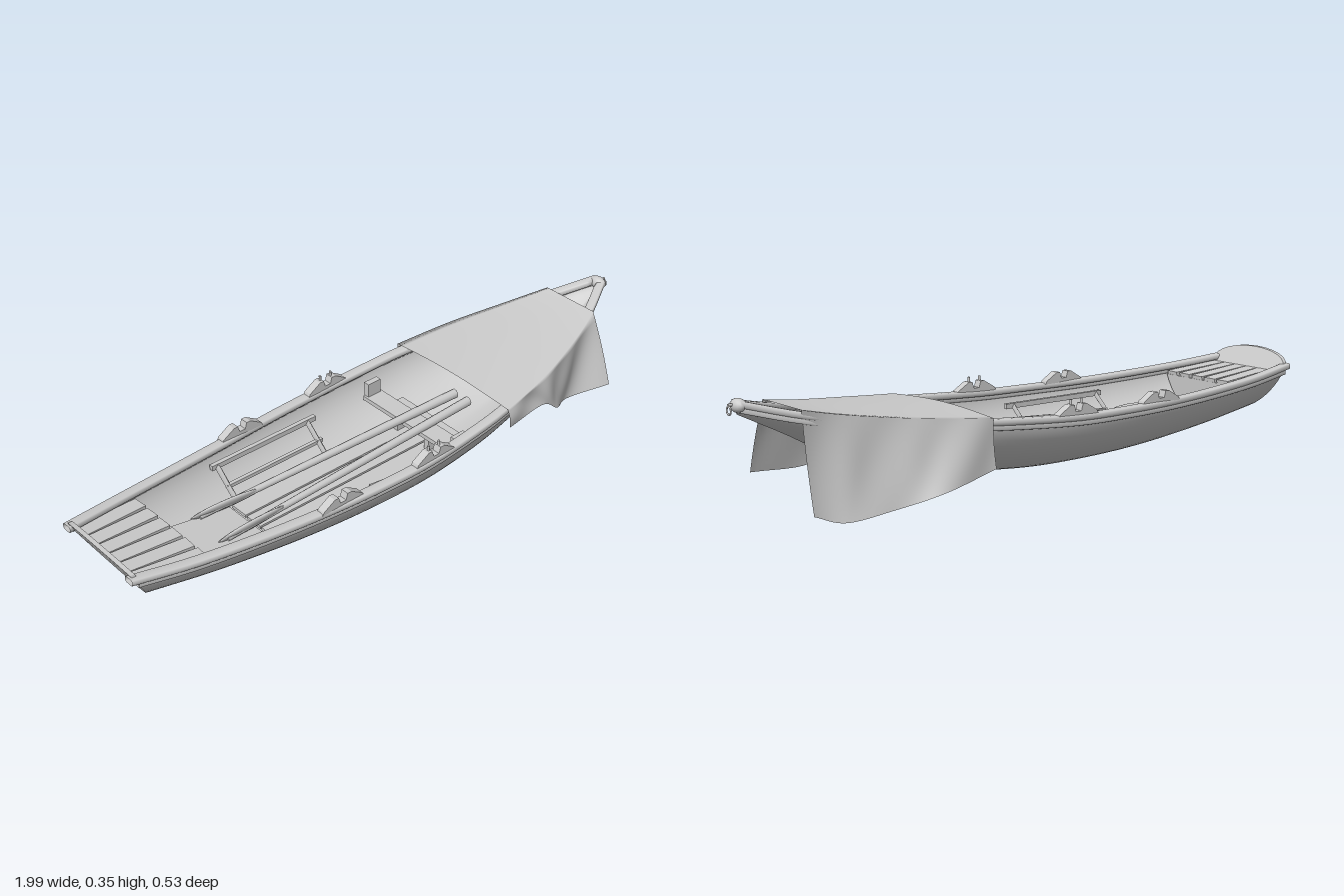
import * as THREE from 'three';
import { ParametricGeometry } from 'three/addons/geometries/ParametricGeometry.js';

const mat = new THREE.MeshStandardMaterial({ color: 0xcccccc, side: THREE.DoubleSide });
const { lerp } = THREE.MathUtils;

// Lines of the boat as [x, value] tables
const SHEER = [[-0.975, 0.262], [-0.8, 0.245], [-0.6, 0.233], [-0.4, 0.226], [-0.2, 0.225], [0, 0.228],
  [0.3, 0.248], [0.5, 0.266], [0.7, 0.29], [0.83, 0.313], [0.97, 0.348]];
const WIDTH = [[-0.975, 0.165], [-0.8, 0.195], [-0.6, 0.22], [-0.4, 0.24], [-0.2, 0.255], [0, 0.26],
  [0.2, 0.25], [0.3, 0.24], [0.5, 0.205], [0.7, 0.145], [0.83, 0.095], [0.97, 0.024]];
const KEEL = [[-0.89, 0.105], [-0.6, 0.068], [-0.35, 0.045], [-0.1, 0.037], [0.1, 0.043], [0.3, 0.065],
  [0.5, 0.102], [0.7, 0.172], [0.83, 0.24], [0.97, 0.31]];

// Smooth interpolation of a table
function at(t, x) {
  let i = 0;
  while (i < t.length - 2 && x > t[i + 1][0]) i++;
  const slope = k => {
    const a = t[Math.max(k - 1, 0)], b = t[Math.min(k + 1, t.length - 1)];
    return (b[1] - a[1]) / (b[0] - a[0]);
  };
  const h = t[i + 1][0] - t[i][0], s = (x - t[i][0]) / h, s2 = s * s, s3 = s2 * s;
  return (2 * s3 - 3 * s2 + 1) * t[i][1] + (s3 - 2 * s2 + s) * h * slope(i)
    + (3 * s2 - 2 * s3) * t[i + 1][1] + (s3 - s2) * h * slope(i + 1);
}

// Point on the hull skin: u runs stern to bow, v from one rail under the keel to the other
function hullPoint(u, v, p) {
  const side = v * 2 - 1, a = Math.abs(side) * Math.PI / 2;
  const xs = lerp(-0.975, 0.965, u), xk = lerp(-0.89, 0.965, u);
  const vee = Math.max(0, (u - 0.6) / 0.4) * 0.6;
  const f = lerp(1 - Math.cos(a), Math.abs(side), vee);
  const w = Math.max(at(WIDTH, xs) - 0.012, 0.012);
  return p.set(lerp(xk, xs, f), lerp(at(KEEL, xk), at(SHEER, xs) - 0.008, f), Math.sign(side) * Math.sin(a) * w);
}

export function createModel() {
  const model = new THREE.Group();
  const add = (name, geo) => {
    const m = new THREE.Mesh(geo, mat);
    m.name = name;
    model.add(m);
    return m;
  };
  const surface = (name, fn, nu, nv) => add(name, new ParametricGeometry(fn, nu, nv));
  const box = (name, x, y, z, sx, sy, sz) => {
    const m = add(name, new THREE.BoxGeometry(sx, sy, sz));
    m.position.set(x, y, z);
    return m;
  };
  // Round or square bar between two points
  const bar = (name, a, b, r0, r1 = r0, sides = 10) => {
    const A = new THREE.Vector3(...a), B = new THREE.Vector3(...b);
    const m = add(name, new THREE.CylinderGeometry(r1, r0, A.distanceTo(B), sides));
    m.position.copy(A).add(B).multiplyScalar(0.5);
    m.quaternion.setFromUnitVectors(new THREE.Vector3(0, 1, 0), B.sub(A).normalize());
  };

  surface('hull', hullPoint, 60, 28);

  // Raked transom with an arched top
  const p = new THREE.Vector3(), outline = [];
  for (let i = 0; i <= 20; i++) {
    hullPoint(0, i / 20, p);
    outline.push(new THREE.Vector2(-p.z, p.y));
  }
  for (let i = 1; i < 12; i++) {
    const a = i / 12 * Math.PI;
    outline.push(new THREE.Vector2(-0.153 * Math.cos(a), 0.256 + 0.045 * Math.sin(a)));
  }
  const transom = new THREE.ExtrudeGeometry(new THREE.Shape(outline), { depth: 0.014, bevelEnabled: false });
  const tp = transom.attributes.position;
  for (let i = 0; i < tp.count; i++) {
    const X = tp.getX(i), Y = tp.getY(i);
    tp.setXYZ(i, -0.89 - 0.556 * (Y - 0.105) + tp.getZ(i), Y, -X);
  }
  transom.computeVertexNormals();
  add('transom', transom);

  // Rounded gunwales and the rubbing strakes below them
  for (const s of [1, -1]) {
    const rail = (name, x0, zIn, yDown, rz, ry) => surface(name, (u, v, q) => {
      const x = lerp(x0, 0.965, u), a = v * Math.PI * 2;
      const round = t => Math.sign(t) * Math.sqrt(Math.abs(t));
      const z = at(WIDTH, x) - zIn + rz * round(Math.cos(a));
      q.set(x, at(SHEER, x) - yDown + ry * round(Math.sin(a)), s * Math.max(z, 0));
    }, 50, 16);
    rail('gunwale', -0.985, 0.017, 0.01, 0.017, 0.01);
    rail('rubbingStrake', -0.965, 0.012, 0.025, 0.007, 0.009);
  }

  // Bow cap and mooring ring
  const cap = add('bowCap', new THREE.SphereGeometry(1, 16, 10));
  cap.scale.set(0.02, 0.02, 0.03);
  cap.position.set(0.96, 0.331, 0);
  bar('ringPin', [0.972, 0.335, 0], [0.99, 0.335, 0], 0.004);
  const ring = add('mooringRing', new THREE.TorusGeometry(0.011, 0.0025, 8, 20));
  ring.rotation.y = Math.PI / 2;
  ring.position.set(0.988, 0.32, 0);

  // Slatted stern seat fanning forward, with its front panel
  for (let i = 0; i < 6; i++) {
    const z = (i - 2.5) * 0.054;
    const slat = box('sternSlat', -0.853, 0.224, z, 0.21, 0.012, 0.047);
    slat.rotation.set(0, -z * 0.7, -0.08);
  }
  const panel = new THREE.Shape();
  for (let i = 0; i <= 16; i++) {
    hullPoint(0.1, i / 16, p);
    const y = Math.min(p.y + 0.012, 0.21);
    if (i) panel.lineTo(p.z * 0.93, y);
    else panel.moveTo(p.z * 0.93, y);
  }
  const front = add('sternSeatPanel', new THREE.ExtrudeGeometry(panel, { depth: 0.012, bevelEnabled: false }));
  front.rotation.y = Math.PI / 2;
  front.position.x = -0.76;

  // Tapered step ahead of the stern seat
  const step = new THREE.BoxGeometry(0.25, 0.014, 0.2);
  const sp = step.attributes.position;
  for (let i = 0; i < sp.count; i++) if (sp.getX(i) > 0) sp.setZ(i, sp.getZ(i) * 0.8);
  const stepMesh = add('sternStep', step);
  stepMesh.position.set(-0.62, 0.118, 0);
  stepMesh.rotation.z = -0.1;

  // Floorboards
  for (let i = -1; i <= 1; i++) box('floorboard', -0.125, 0.088, i * 0.068, 0.69, 0.01, 0.062);

  // Thwart with its supports, and the side stringers with their ribs
  box('thwart', 0.155, 0.152, 0, 0.065, 0.014, 0.4);
  box('thwartBeam', 0.23, 0.118, 0, 0.025, 0.018, 0.3);
  for (const s of [1, -1]) {
    box('thwartKnee', 0.155, 0.18, s * 0.194, 0.05, 0.05, 0.02);
    box('thwartLeg', 0.155, 0.12, s * 0.07, 0.03, 0.06, 0.02);
    box('stringer', -0.275, 0.175, s * 0.194, 0.39, 0.016, 0.014);
    box('lowerStringer', -0.275, 0.128, s * 0.143, 0.36, 0.012, 0.012);
    for (const x of [-0.45, -0.11]) bar('rib', [x, 0.175, s * 0.194], [x, 0.092, s * 0.1], 0.009, 0.009, 4);
  }

  // Oars resting on the thwart
  for (const [z0, z1] of [[-0.08, -0.005], [0.05, 0.052]]) {
    bar('oarShaft', [-0.6, 0.13, z0], [0.33, 0.176, z1], 0.009, 0.015);
    const blade = add('oarBlade', new THREE.SphereGeometry(1, 14, 8));
    blade.scale.set(0.12, 0.024, 0.009);
    blade.position.set(-0.51, 0.135, lerp(z0, z1, 0.1));
    blade.rotation.set(0.5, -(z1 - z0) / 0.93, 0.05);
  }

  // Oarlock blocks with notched tops and thole pins
  const block = new THREE.Shape([[-0.075, 0], [0.075, 0], [0.07, 0.01], [0.03, 0.034], [0.016, 0.034], [0.01, 0.014],
    [-0.01, 0.014], [-0.016, 0.034], [-0.03, 0.034], [-0.07, 0.01]].map(c => new THREE.Vector2(...c)));
  for (const s of [1, -1]) for (const x of [-0.335, 0.005]) {
    const z = s * (at(WIDTH, x) - 0.018), y = at(SHEER, x);
    const m = add('oarlockBlock', new THREE.ExtrudeGeometry(block, { depth: 0.026, bevelEnabled: false }));
    m.position.set(x, y - 0.004, z - 0.013);
    if (x > 0) for (const d of [-0.02, 0.02]) bar('tholePin', [x + d, y, z], [x + d, 0.273, z], 0.004);
  }

  // Tarpaulin draped over the bow, its hems hanging on either side
  const curve = pts => new THREE.CatmullRomCurve3(pts.map(c => new THREE.Vector3(...c)));
  const hems = {
    '-1': curve([[0.3, 0.11, -0.25], [0.49, 0.07, -0.263], [0.6, 0.03, -0.195], [0.72, 0.0, -0.13], [0.755, 0.002, -0.028]]),
    '1': curve([[0.31, 0.19, 0.252], [0.49, 0.18, 0.225], [0.56, 0.13, 0.215], [0.65, 0.1, 0.17], [0.82, 0.095, 0.2]]),
  };
  surface('tarpaulin', (u, v, q) => {
    const t = v * 2 - 1, s = t < 0 ? -1 : 1, k = Math.abs(t);
    const x = lerp(0.305, 0.83, u), w = at(WIDTH, x) + 0.005, y = at(SHEER, x) + 0.005;
    if (k <= 0.5) return q.set(x, y + 0.012 * Math.cos(k * Math.PI) * (1 - u), t * 2 * w);
    const f = (k - 0.5) * 2, hem = hems[s].getPoint(u);
    const fold = 0.006 * Math.sin(u * 19 + s) * Math.sin(f * Math.PI);
    return q.set(lerp(x, hem.x, f), lerp(y, hem.y, f), lerp(s * w, hem.z, f) + s * fold);
  }, 36, 40);

  return model;
}
